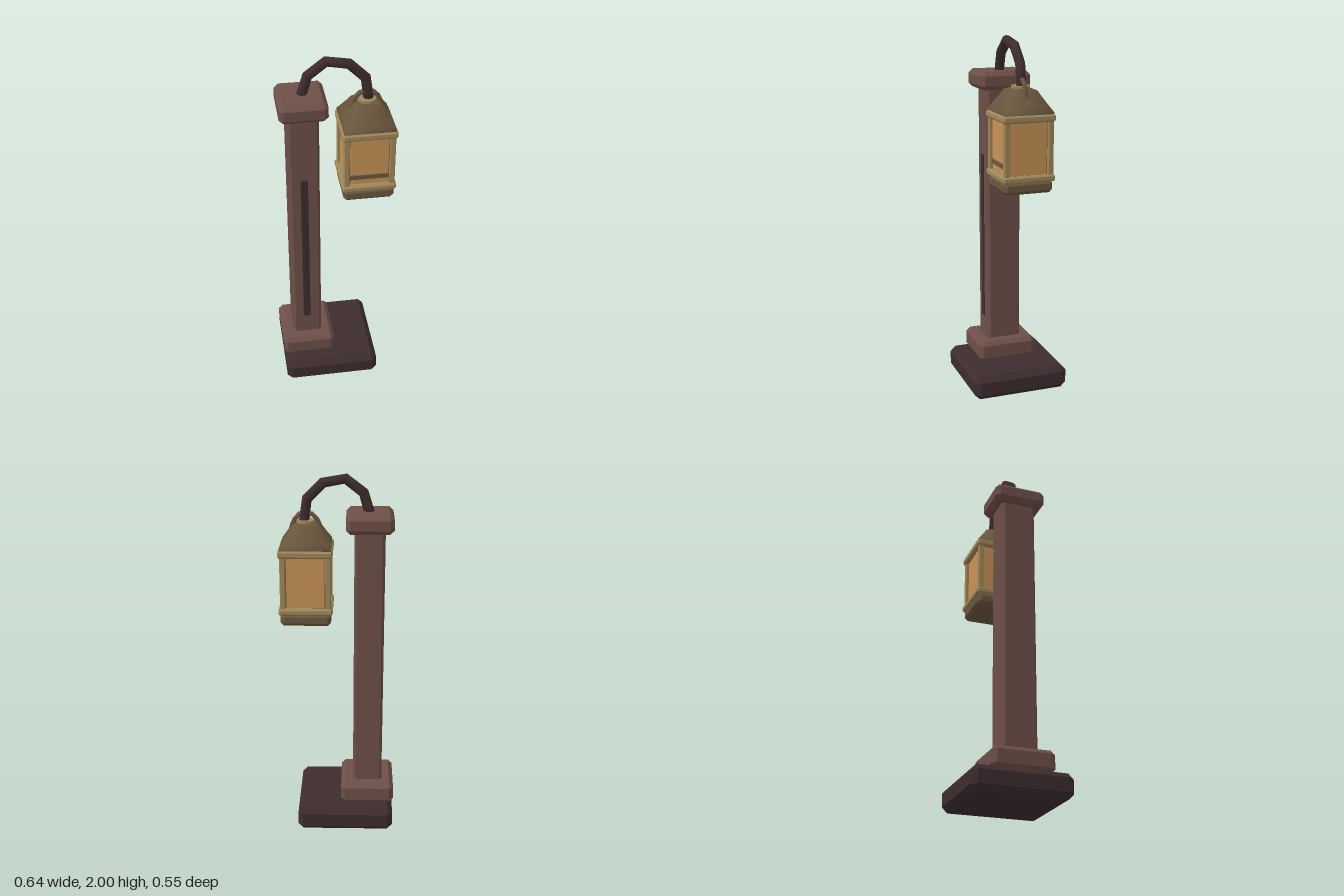
import * as THREE from 'three';
import { ConvexGeometry } from 'three/addons/geometries/ConvexGeometry.js';

const material = (name, color) => {
  const m = new THREE.MeshStandardMaterial({ color });
  m.name = name;
  return m;
};

// Box with every edge and corner cut by a chamfer c, spanning x0..x1, y0..y1 and +-hz
function chamferBox(x0, x1, y0, y1, hz, c) {
  const hx = (x1 - x0) / 2, hy = (y1 - y0) / 2, pts = [];
  for (const sx of [-1, 1]) for (const sy of [-1, 1]) for (const sz of [-1, 1]) {
    pts.push(
      new THREE.Vector3(sx * hx, sy * (hy - c), sz * (hz - c)),
      new THREE.Vector3(sx * (hx - c), sy * hy, sz * (hz - c)),
      new THREE.Vector3(sx * (hx - c), sy * (hy - c), sz * hz));
  }
  return new ConvexGeometry(pts).translate((x0 + x1) / 2, (y0 + y1) / 2, 0);
}

function tube(points, segments, radius, sides) {
  const curve = new THREE.CatmullRomCurve3(points.map(([x, y]) => new THREE.Vector3(x, y, 0)));
  return new THREE.TubeGeometry(curve, segments, radius, sides);
}

export function createModel() {
  const group = new THREE.Group();
  const wood = material('reddish wood', 0x6d4f48);
  const dark = material('dark wood', 0x3d2c2e);
  const brass = material('brass', 0xa0875a);
  const bronze = material('dark bronze', 0x6a573e);
  const glass = material('amber glass', 0xc79256);

  const add = (name, geometry, mat, parent = group) => {
    const mesh = new THREE.Mesh(geometry, mat);
    mesh.name = name;
    parent.add(mesh);
    return mesh;
  };

  // Post, standing to one side of its base
  add('base', chamferBox(-0.316, 0.22, 0, 0.135, 0.275, 0.03), dark);
  add('plinth', chamferBox(-0.322, -0.022, 0.12, 0.24, 0.17, 0.023), wood);
  add('post', chamferBox(-0.255, -0.09, 0.2, 1.74, 0.098, 0.014), wood);
  add('postCap', chamferBox(-0.3, -0.045, 1.7, 1.8, 0.145, 0.023), wood);
  add('frontInlay', chamferBox(-0.195, -0.155, 0.36, 1.33, 0.004, 0.003).translate(0, 0, 0.1), dark);

  // Bent arm
  add('arm', tube([[-0.172, 1.78], [-0.14, 1.893], [-0.037, 1.972], [0.085, 1.945],
    [0.177, 1.838], [0.18, 1.745]], 5, 0.028, 8), dark);

  // Lantern, built around its own centre line
  const lantern = new THREE.Group();
  lantern.name = 'lantern';
  lantern.position.x = 0.171;
  group.add(lantern);
  const slab = (name, h, y0, y1, c, mat) => add(name, chamferBox(-h, h, y0, y1, h, c), mat, lantern);
  slab('lanternFoot', 0.137, 1.192, 1.262, 0.018, bronze);
  slab('lowerRail', 0.146, 1.255, 1.292, 0.009, brass);
  slab('lanternBody', 0.117, 1.27, 1.6, 0.004, bronze);
  slab('upperRail', 0.146, 1.572, 1.612, 0.009, brass);

  // Corner posts and one pane on each side
  for (let i = 0; i < 4; i++) {
    const side = new THREE.Group();
    side.name = 'lanternSide';
    side.rotation.y = i * Math.PI / 2;
    lantern.add(side);
    add('cornerPost', chamferBox(-0.015, 0.015, 1.27, 1.59, 0.015, 0.004).translate(0.122, 0, 0.122), brass, side);
    add('pane', new THREE.BoxGeometry(0.206, 0.28, 0.008).translate(0, 1.434, 0.117), glass, side);
  }
  add('frontBar', new THREE.BoxGeometry(0.212, 0.024, 0.009).translate(0, 1.338, 0.124), bronze, lantern);

  // Flared square roof
  const profile = [[0.137, 1.605], [0.137, 1.622], [0.121, 1.645], [0.092, 1.69], [0.068, 1.73], [0.05, 1.738], [0, 1.738]]
    .map(([r, y]) => new THREE.Vector2(r * Math.SQRT2, y));
  // Lathe winds outward when the profile climbs
  add('roof', new THREE.LatheGeometry(profile, 4, Math.PI / 4), bronze, lantern);

  // Collar and carrying loop
  add('collar', new THREE.CylinderGeometry(0.052, 0.052, 0.02, 10).translate(0, 1.742, 0), brass, lantern);
  add('carryingLoop', tube([[-0.083, 1.69], [-0.066, 1.745], [-0.035, 1.782], [0, 1.79],
    [0.035, 1.782], [0.066, 1.745], [0.083, 1.69]], 8, 0.013, 6), bronze, lantern);

  return group;
}
